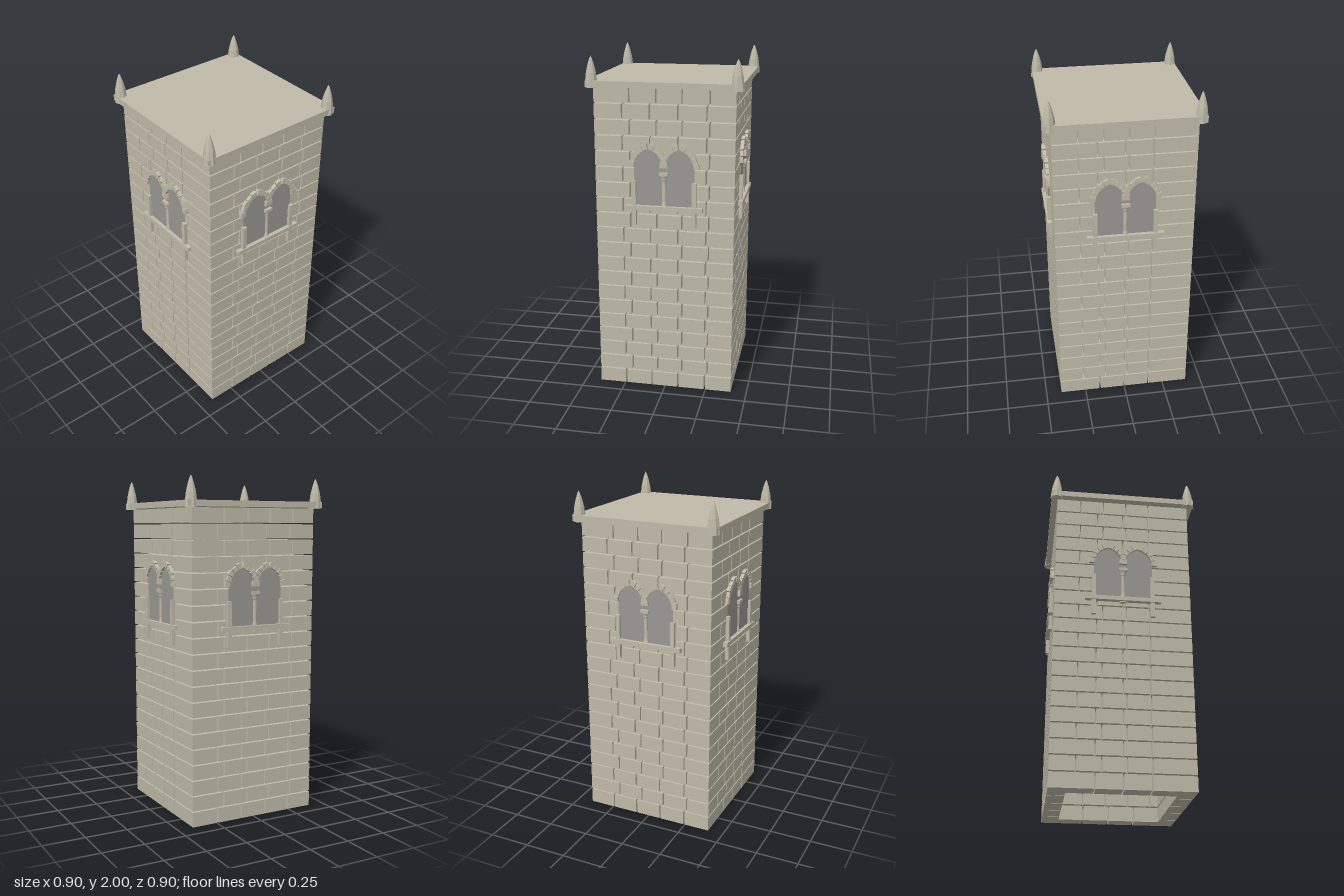
import * as THREE from 'three';

const stone = new THREE.MeshStandardMaterial({ color: 0xbfbaa8, flatShading: true });
const glass = new THREE.MeshStandardMaterial({ color: 0x999793, side: THREE.DoubleSide });

const HALF = 0.405, THICK = 0.1, ROWS = 20, ROW_H = 0.0915, GAP = 0.008;
const SPRING = 1.38, ARCH_X = 0.09, ARCH_W = 0.085, ARCH_RISE = 0.11;
// Pointed arch: each side is an arc whose centre lies beyond the middle
const OFF = (ARCH_RISE ** 2 - ARCH_W ** 2) / (2 * ARCH_W);
const RAD = ARCH_W + OFF;
const SWEEP = Math.acos(OFF / RAD);

function add(parent, name, geometry, material, x = 0, y = 0, z = 0) {
  const mesh = new THREE.Mesh(geometry, material);
  mesh.name = name;
  mesh.position.set(x, y, z);
  parent.add(mesh);
  return mesh;
}

function box(parent, name, w, h, d, x, y, z) {
  return add(parent, name, new THREE.BoxGeometry(w, h, d), stone, x, y, z);
}

// Wall of separate bricks with open joints, facing +z
function brickWall(name, evenJoints, oddJoints) {
  const wall = new THREE.Group();
  wall.name = name;
  for (let row = 0; row < ROWS; row++) {
    const joints = row % 2 ? oddJoints : evenJoints;
    const y0 = row * ROW_H + (row ? GAP / 2 : 0);
    const y1 = (row + 1) * ROW_H - GAP / 2;
    for (let i = 0; i < joints.length - 1; i++) {
      const x0 = joints[i] + (i ? GAP / 2 : 0);
      const x1 = joints[i + 1] - (i < joints.length - 2 ? GAP / 2 : 0);
      box(wall, 'brick', x1 - x0, y1 - y0, THICK, (x0 + x1) / 2, (y0 + y1) / 2, HALF - THICK / 2);
    }
  }
  return wall;
}

// One wedge stone of an arch, side = -1 left or 1 right
function archStone(side, a0, a1, r0, r1) {
  const at = (r, a) => new THREE.Vector2(side * (r * Math.cos(a) - OFF), r * Math.sin(a));
  const mid = (a0 + a1) / 2;
  const shape = new THREE.Shape([at(r0, a0), at(r1, a0), at(r1, mid), at(r1, a1), at(r0, a1), at(r0, mid)]);
  return new THREE.ExtrudeGeometry(shape, { depth: 0.03, bevelEnabled: false });
}

// Pane outline with an arched head
function paneShape() {
  const points = [new THREE.Vector2(-ARCH_W, 1.14), new THREE.Vector2(ARCH_W, 1.14)];
  for (const side of [1, -1]) {
    for (let i = 0; i <= 8; i++) {
      const a = SWEEP * (side > 0 ? i : 8 - i) / 8;
      if (side < 0 && i === 0) continue;
      points.push(new THREE.Vector2(side * (RAD * Math.cos(a) - OFF), SPRING + RAD * Math.sin(a)));
    }
  }
  return new THREE.Shape(points);
}

// Twin arched window on the +z wall
function twinWindow() {
  const win = new THREE.Group();
  win.name = 'twinWindow';
  for (const cx of [-ARCH_X, ARCH_X]) {
    add(win, 'pane', new THREE.ShapeGeometry(paneShape()), glass, cx, 0, 0.409);
    for (const side of [-1, 1]) {
      const count = 5;
      for (let i = 0; i < count; i++) {
        const a0 = SWEEP * i / count + (i ? 0.015 : 0);
        const a1 = SWEEP * (i + 1) / count - 0.015;
        const outer = RAD + (i % 2 ? 0.024 : 0.029);
        add(win, 'archStone', archStone(side, a0, a1, RAD - 0.002, outer), stone, cx, SPRING, 0.395);
      }
    }
  }
  // Narrow strip of pane behind the column
  add(win, 'pane', new THREE.PlaneGeometry(0.012, 0.24), glass, 0, 1.26, 0.4085);
  // Sill and side posts
  box(win, 'sill', 0.45, 0.026, 0.04, 0, 1.141, 0.412);
  for (const x of [-0.175, 0.175]) box(win, 'sidePost', 0.025, 0.265, 0.03, x, 1.168, 0.411);
  // Turned column with base and capital
  const profile = [[0, 1.12], [0.022, 1.12], [0.022, 1.132], [0.015, 1.16], [0.011, 1.18], [0.011, 1.3],
    [0.016, 1.31], [0.016, 1.318], [0.022, 1.332], [0.022, 1.338], [0, 1.338]];
  const column = add(win, 'column',
    new THREE.LatheGeometry(profile.map(([r, y]) => new THREE.Vector2(r, y)), 10), stone, 0, 0, 0.408);
  column.scale.z = 0.8;
  column.position.z = 0.408;
  box(win, 'capital', 0.05, 0.018, 0.036, 0, 1.344, 0.408);
  return win;
}

export function createModel() {
  const tower = new THREE.Group();
  tower.name = 'tower';

  // Front and back walls run the full width, side walls fit between them
  const inner = HALF - THICK;
  const walls = [
    ['frontWall', 0], ['leftWall', 1], ['backWall', 2], ['rightWall', 3],
  ];
  for (const [name, turn] of walls) {
    const wall = turn % 2
      ? brickWall(name, [-inner, -0.155, 0, 0.155, inner], [-inner, -0.26, -0.12, 0.02, 0.16, inner])
      : brickWall(name, [-HALF, -0.243, -0.083, 0.079, 0.243, HALF], [-HALF, -0.2, -0.045, 0.103, 0.26, HALF]);
    wall.add(twinWindow());
    wall.rotation.y = turn * Math.PI / 2;
    tower.add(wall);
  }

  // Roof slab
  box(tower, 'roofSlab', 0.884, 0.035, 0.884, 0, 1.8475, 0);

  // Corner finials
  const finial = [[0, 1.826], [0.038, 1.826], [0.034, 1.87], [0.029, 1.91], [0.018, 1.955], [0.008, 1.985], [0, 2]];
  for (const x of [-0.412, 0.412]) {
    for (const z of [-0.412, 0.412]) {
      add(tower, 'finial',
        new THREE.LatheGeometry(finial.map(([r, y]) => new THREE.Vector2(r, y)), 8), stone, x, 0, z);
    }
  }
  return tower;
}
